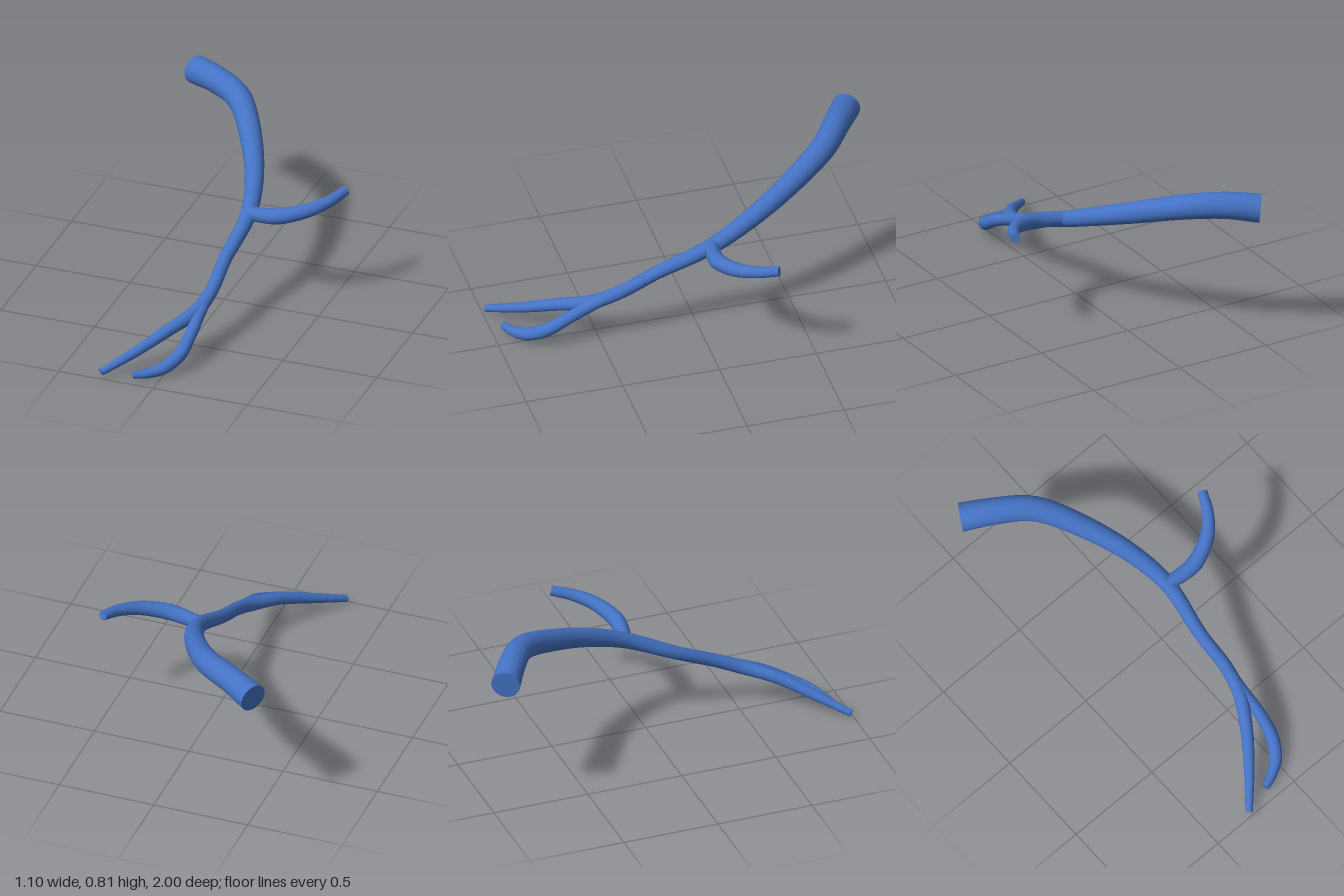
import * as THREE from 'three';

const SEGMENTS = 64;
const SIDES = 24;

// Smooth tapered tube; each point is [x, y, z, radius]
function taperedTube(name, points, material) {
  const group = new THREE.Group();
  group.name = name;
  const curve = new THREE.CatmullRomCurve3(points.map(p => new THREE.Vector3(p[0], p[1], p[2])));
  const radiusAt = u => {
    const t = curve.getUtoTmapping(u) * (points.length - 1);
    const i = Math.min(Math.floor(t), points.length - 2);
    return THREE.MathUtils.lerp(points[i][3], points[i + 1][3], t - i);
  };

  // Scale every ring of a unit tube about its centre
  const geometry = new THREE.TubeGeometry(curve, SEGMENTS, 1, SIDES, false);
  const position = geometry.attributes.position;
  const vertex = new THREE.Vector3();
  for (let i = 0; i <= SEGMENTS; i++) {
    const centre = curve.getPointAt(i / SEGMENTS);
    const radius = radiusAt(i / SEGMENTS);
    for (let j = 0; j <= SIDES; j++) {
      const k = i * (SIDES + 1) + j;
      vertex.fromBufferAttribute(position, k).sub(centre).multiplyScalar(radius).add(centre);
      position.setXYZ(k, vertex.x, vertex.y, vertex.z);
    }
  }
  const wall = new THREE.Mesh(geometry, material);
  wall.name = name + 'Wall';
  group.add(wall);

  // Flat end caps
  for (const u of [0, 1]) {
    const cap = new THREE.Mesh(new THREE.CircleGeometry(radiusAt(u), SIDES), material);
    const outward = curve.getTangentAt(u).multiplyScalar(u ? 1 : -1);
    cap.position.copy(curve.getPointAt(u));
    cap.quaternion.setFromUnitVectors(new THREE.Vector3(0, 0, 1), outward);
    cap.name = name + (u ? 'EndCap' : 'StartCap');
    group.add(cap);
  }
  return group;
}

export function createModel() {
  const model = new THREE.Group();
  model.name = 'branchingVessel';
  const blue = new THREE.MeshStandardMaterial({ color: 0x4472c4 });
  blue.name = 'vessel blue';

  // Trunk running on into the longer fork
  model.add(taperedTube('trunk', [
    [-0.505, 0.73, -0.94, 0.073],
    [-0.36, 0.745, -0.85, 0.068],
    [-0.2, 0.73, -0.735, 0.064],
    [-0.05, 0.645, -0.51, 0.056],
    [0.06, 0.545, -0.26, 0.047],
    [0.102, 0.46, -0.06, 0.04],
    [0.08, 0.345, 0.2, 0.034],
    [0.08, 0.26, 0.4, 0.034],
    [0.052, 0.21, 0.53, 0.036],
    [-0.04, 0.163, 0.69, 0.032],
    [-0.155, 0.095, 0.84, 0.026],
    [-0.282, 0.03, 0.985, 0.018],
  ], blue));

  // Side branch sweeping outward and back
  model.add(taperedTube('sideBranch', [
    [0.1, 0.472, -0.075, 0.036],
    [0.17, 0.478, -0.06, 0.038],
    [0.27, 0.492, -0.058, 0.042],
    [0.4, 0.52, -0.115, 0.036],
    [0.48, 0.543, -0.2, 0.03],
    [0.53, 0.563, -0.3, 0.025],
  ], blue));

  // Shorter hooked fork
  model.add(taperedTube('shortFork', [
    [0.078, 0.255, 0.42, 0.028],
    [0.073, 0.205, 0.54, 0.03],
    [0.072, 0.155, 0.65, 0.031],
    [0.054, 0.085, 0.77, 0.034],
    [0.002, 0.045, 0.86, 0.032],
    [-0.07, 0.026, 0.91, 0.025],
    [-0.132, 0.02, 0.937, 0.018],
  ], blue));

  return model;
}
